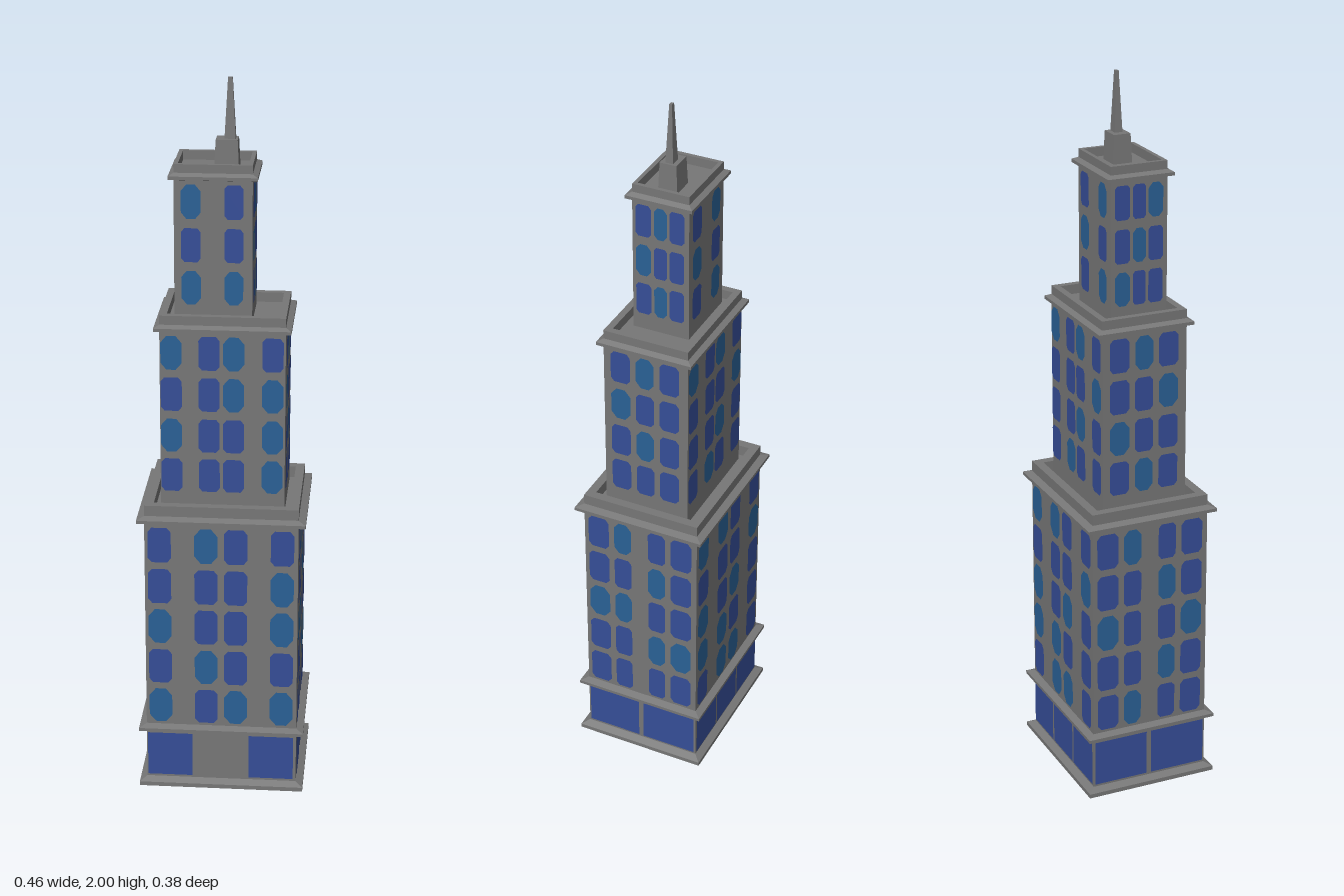
import * as THREE from 'three';
import { mergeGeometries } from 'three/addons/utils/BufferGeometryUtils.js';

const stone = new THREE.MeshStandardMaterial({ name: 'stone grey', color: 0x777777 });
const deepBlue = new THREE.MeshStandardMaterial({ name: 'deep blue glass', color: 0x364e98 });
const tealBlue = new THREE.MeshStandardMaterial({ name: 'teal blue glass', color: 0x2a6196 });

// Closed solid from stacked rectangles [half width, half depth, y]
function loft(rings) {
  const corners = rings.map(([w, d, y]) => [[-w, y, d], [w, y, d], [w, y, -d], [-w, y, -d]]);
  const pos = [];
  const quad = (a, b, c, d) => pos.push(...a, ...b, ...c, ...a, ...c, ...d);
  for (let i = 0; i < corners.length - 1; i++) {
    const lo = corners[i], hi = corners[i + 1];
    for (let k = 0; k < 4; k++) quad(lo[k], lo[(k + 1) % 4], hi[(k + 1) % 4], hi[k]);
  }
  quad(...[...corners[0]].reverse());
  quad(...corners[corners.length - 1]);
  const g = new THREE.BufferGeometry();
  g.setAttribute('position', new THREE.Float32BufferAttribute(pos, 3));
  g.computeVertexNormals();
  return g;
}

// Moulding that projects by p from a wall of half size w, d
const moulding = (w, d, y, p) => [
  [w, d, y], [w + p, d + p, y + 0.004], [w + p, d + p, y + 0.013], [w, d, y + 0.02],
];

// Window pane with cut corners
function pane(x, y, w, h, cut) {
  const a = w / 2, b = h / 2, cy = cut * 1.2;
  const pts = cut ? [[-a + cut, -b], [a - cut, -b], [a, -b + cy], [a, b - cy],
    [a - cut, b], [-a + cut, b], [-a, b - cy], [-a, -b + cy]]
    : [[-a, -b], [a, -b], [a, b], [-a, b]];
  const g = new THREE.ShapeGeometry(new THREE.Shape(pts.map(p => new THREE.Vector2(...p))));
  return g.translate(x, y, 0);
}

// Columns are [centre, width]; patterns list rows from the top, faces: front, right, back, left
const tiers = [
  { name: 'lowerTier', x: 0, w: 0.211, d: 0.172, y0: 0, cornice: 0.805, top: 0.855, p: 0.02, t: 0.025,
    rows: [0.74, 0.617, 0.495, 0.372, 0.25], h: 0.103,
    wide: [[-0.17, 0.064], [-0.042, 0.064], [0.04, 0.064], [0.168, 0.064]],
    deep: [[-0.128, 0.063], [-0.054, 0.052], [0.05, 0.052], [0.125, 0.063]],
    patterns: ['DTDD DDDT TDDT DTDD TDTT', 'DTDD DDTD TTDD DDTT DDDD',
      'TTDD DDDT TDTD TTDD DTTD', 'DTDD DDTD TDDT DDTD DTDD'] },
  { name: 'middleTier', x: 0, w: 0.169, d: 0.1235, y0: 0.82, cornice: 1.338, top: 1.383, p: 0.015, t: 0.019,
    rows: [1.28, 1.163, 1.045, 0.93], h: 0.095,
    wide: [[-0.138, 0.057], [-0.036, 0.057], [0.03, 0.057], [0.135, 0.057]],
    deep: [[-0.074, 0.057], [-0.002, 0.053], [0.07, 0.057]],
    patterns: ['TDTD DDTT TDDT DDDT', 'DTD TDD DTD DDD', 'TDTD DDDT DDTD DTDD', 'DTD DDT TDD DTD'] },
  { name: 'upperTier', x: -0.028, w: 0.104, d: 0.081, y0: 1.355, cornice: 1.742, top: 1.785, p: 0.014, t: 0.011,
    rows: [1.685, 1.567, 1.45], h: 0.093,
    wide: [[-0.059, 0.052], [0.055, 0.05]],
    deep: [[-0.049, 0.044], [0, 0.037], [0.047, 0.042]],
    patterns: ['TD DD TT', 'DTD TDD DTD', 'DT TD DT', 'DDT DTD TDD'] },
];

export function createModel() {
  const model = new THREE.Group();
  model.name = 'skyscraper';
  const add = (parent, name, geo, mat) => {
    const m = new THREE.Mesh(geo, mat);
    m.name = name;
    parent.add(m);
    return m;
  };

  for (const T of tiers) {
    const { w, d, t, p } = T;
    const tier = new THREE.Group();
    tier.name = T.name;
    tier.position.x = T.x;
    model.add(tier);

    // Walls, cornice, parapet and sunken roof as one stepped solid
    const ground = T.y0 === 0
      ? [[w + p, d + p, 0], [w + p, d + p, 0.012], [w, d, 0.022], ...moulding(w, d, 0.17, p)]
      : [[w, d, T.y0]];
    add(tier, 'wallsAndParapet', loft([...ground, ...moulding(w, d, T.cornice, p),
      [w, d, T.top], [w - t, d - t, T.top], [w - t, d - t, T.cornice + 0.018]]), stone);

    // Windows on all four faces, sorted by glass colour
    const glass = { D: [], T: [] };
    T.patterns.forEach((pattern, f) => {
      const place = g => g.translate(0, 0, (f % 2 ? w : d) + 0.002).rotateY(f * Math.PI / 2);
      const columns = f % 2 ? T.deep : T.wide;
      pattern.split(' ').forEach((row, r) => columns.forEach(([x, width], c) => {
        const k = row[c];
        glass[k].push(place(pane(x, T.rows[r], width, T.h, width * (k === 'T' ? 0.28 : 0.17))));
      }));
      // Large ground floor panes, with a plain entrance bay in front
      if (T.y0 === 0) {
        const bays = f === 0 ? [[-0.145, 0.126], [0.14, 0.126]]
          : f === 2 ? [[-0.14, 0.132], [0, 0.132], [0.14, 0.132]] : [[-0.088, 0.158], [0.086, 0.162]];
        for (const [x, width] of bays) glass.D.push(place(pane(x, 0.095, width, 0.132, 0)));
      }
    });
    add(tier, 'deepBlueWindows', mergeGeometries(glass.D), deepBlue);
    add(tier, 'tealBlueWindows', mergeGeometries(glass.T), tealBlue);
  }

  // Rooftop block and tapering mast
  add(model, 'mastBase', loft([[0.033, 0.027, 1.755], [0.029, 0.024, 1.838]]), stone).position.x = 0.003;
  add(model, 'mast', loft([[0.015, 0.011, 1.835], [0.006, 0.004, 2]]), stone).position.x = 0.011;
  return model;
}
